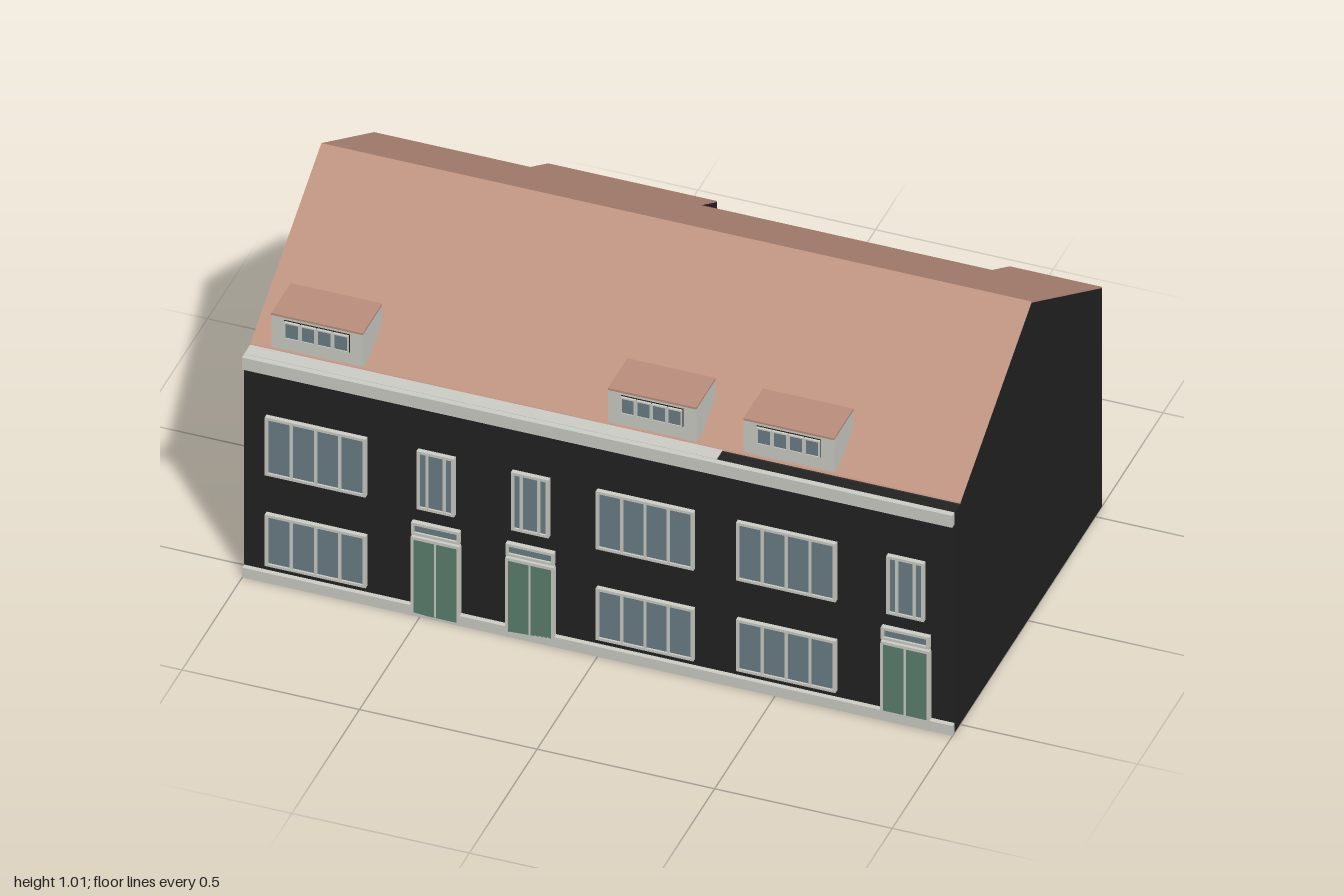
import * as THREE from 'three';

const mat = (name, color, opts = {}) => {
  const m = new THREE.MeshStandardMaterial({ color, ...opts });
  m.name = name;
  return m;
};

export function createModel() {
  const wall = mat('dark wall', 0x232323);
  const tile = mat('roof tile', 0xbd907e);
  const trim = mat('pale trim', 0xcfcfc9);
  const glass = mat('window glass', 0x6c7f88);
  const green = mat('door green', 0x5d8070);
  const house = new THREE.Group();
  house.name = 'terracedHouses';

  const add = (parent, name, geo, material) => {
    const m = new THREE.Mesh(geo, material);
    m.name = name;
    parent.add(m);
    return m;
  };
  // Box given by its limits on each axis
  const box = (parent, name, material, x0, x1, y0, y1, z0, z1) => {
    const g = new THREE.BoxGeometry(x1 - x0, y1 - y0, z1 - z0);
    g.translate((x0 + x1) / 2, (y0 + y1) / 2, (z0 + z1) / 2);
    return add(parent, name, g, material);
  };
  // Side profile of [z, y] points swept from x0 to x1
  const prism = (parent, name, material, profile, x0, x1) => {
    const s = new THREE.Shape(profile.map(([z, y]) => new THREE.Vector2(-z, y)));
    const g = new THREE.ExtrudeGeometry(s, { depth: x1 - x0, bevelEnabled: false });
    g.rotateY(Math.PI / 2);
    g.translate(x0, 0, 0);
    return add(parent, name, g, material);
  };

  // Main block, with two deeper bays at the back under the same slope
  const RIDGE_Z = -0.03, RIDGE_Y = 1.015, T = 0.004;
  const FRONT = 0.54, BACK = -0.42, BAY = -0.55;
  const backY = z => RIDGE_Y + (z - RIDGE_Z) * (RIDGE_Y - 0.712) / (RIDGE_Z - BAY);
  prism(house, 'mainWalls', wall, [
    [FRONT, 0], [FRONT, 0.713], [0.5, 0.713], [RIDGE_Z, RIDGE_Y - T], [BACK, backY(BACK) - T], [BACK, 0],
  ], -1, 1);
  prism(house, 'frontRoof', tile, [
    [0.5, 0.711], [0.495, 0.718], [RIDGE_Z, RIDGE_Y], [RIDGE_Z, RIDGE_Y - T],
  ], -1, 1);
  const backRoof = (name, zTop, zEave, x0, x1) => prism(house, name, tile, [
    [zTop, backY(zTop)], [zEave, backY(zEave)], [zEave, backY(zEave) - T], [zTop, backY(zTop) - T],
  ], x0, x1);
  backRoof('backRoof', RIDGE_Z, BACK, -1, 1);
  for (const [x0, x1] of [[-0.56, -0.085], [0.74, 1]]) {
    prism(house, 'backBay', wall, [
      [BACK, 0], [BACK, backY(BACK) - T], [BAY, backY(BAY) - T], [BAY, 0],
    ], x0, x1);
    backRoof('bayRoof', BACK, BAY, x0, x1);
  }

  // Plinth, eaves board and the pale gutter bed
  box(house, 'plinth', trim, -1, 1, 0, 0.032, FRONT, 0.555);
  box(house, 'eavesBoard', trim, -1, 1, 0.676, 0.715, FRONT, 0.557);
  box(house, 'gutterBed', trim, -1, 0.33, 0.71, 0.716, 0.49, FRONT);

  // Framed window in local coordinates, facing +z from z = 0
  const windowUnit = (parent, name, x0, x1, y0, y1, bars, depth, f) => {
    const g = new THREE.Group();
    g.name = name;
    box(g, 'pane', glass, x0 + f / 2, x1 - f / 2, y0 + f / 2, y1 - f / 2, 0, depth * 0.6);
    box(g, 'sill', trim, x0, x1, y0, y0 + f, 0, depth);
    box(g, 'head', trim, x0, x1, y1 - f, y1, 0, depth);
    for (const x of [x0, x1 - f]) box(g, 'jamb', trim, x, x + f, y0 + f, y1 - f, 0, depth);
    for (const t of bars) {
      const x = x0 + (x1 - x0) * t;
      box(g, 'mullion', trim, x - f / 2, x + f / 2, y0 + f, y1 - f, 0, depth * 0.9);
    }
    parent.add(g);
    return g;
  };

  // Wide front windows on both floors
  for (const [x0, x1] of [[-0.937, -0.653], [-0.005, 0.27], [0.39, 0.67]]) {
    for (const [y0, y1] of [[0.347, 0.535], [0.053, 0.22]]) {
      windowUnit(house, 'wideWindow', x0, x1, y0, y1, [0.26, 0.5, 0.74], 0.014, 0.008).position.z = FRONT;
    }
  }

  // Front doors with a fanlight, and a narrow window above each
  for (const x of [-0.457, -0.191, 0.866]) {
    const door = new THREE.Group();
    door.name = 'frontDoor';
    door.position.set(x, 0, FRONT);
    box(door, 'doorLeaf', green, -0.062, 0.062, 0.008, 0.248, 0, 0.015);
    box(door, 'doorHead', trim, -0.068, 0.068, 0.247, 0.256, 0, 0.016);
    for (const s of [-0.065, 0.065]) box(door, 'doorJamb', trim, s - 0.004, s + 0.004, 0, 0.25, 0, 0.016);
    box(door, 'doorStrip', trim, -0.003, 0.003, 0.01, 0.247, 0, 0.016);
    windowUnit(door, 'fanlight', -0.068, 0.068, 0.262, 0.301, [], 0.015, 0.008);
    windowUnit(door, 'narrowWindow', -0.053, 0.053, 0.347, 0.535, [0.27, 0.73], 0.014, 0.008);
    house.add(door);
  }

  // Dormers set into the front slope
  for (const [x0, x1] of [[-0.935, -0.677], [0.013, 0.262], [0.395, 0.65]]) {
    const d = new THREE.Group();
    d.name = 'dormer';
    box(d, 'dormerBox', trim, x0, x1, 0.735, 0.84, 0.37, 0.51);
    box(d, 'dormerRoof', tile, x0, x1, 0.84, 0.846, 0.368, 0.512);
    const a = x0 + 0.037, w = (x1 - x0 - 0.074) / 4;
    box(d, 'dormerBacking', wall, a, a + w * 4, 0.774, 0.832, 0.51, 0.512);
    for (let i = 0; i < 4; i++) {
      windowUnit(d, 'dormerWindow', a + i * w + 0.001, a + (i + 1) * w - 0.001, 0.776, 0.83, [], 0.007, 0.004)
        .position.z = 0.512;
    }
    house.add(d);
  }

  // Back windows, two floors, turned to face -z
  const recessed = [-0.905, -0.652, 0.003, 0.205, 0.425, 0.645];
  const onBays = [-0.437, -0.19, 0.867];
  for (const [list, z] of [[recessed, BACK], [onBays, BAY]]) {
    for (const x of list) for (const [y0, y1] of [[0.41, 0.61], [0.09, 0.28]]) {
      const w = windowUnit(house, 'backWindow', -0.065, 0.065, y0, y1, [], 0.006, 0.009);
      w.position.set(x, 0, z);
      w.rotation.y = Math.PI;
    }
  }
  return house;
}
